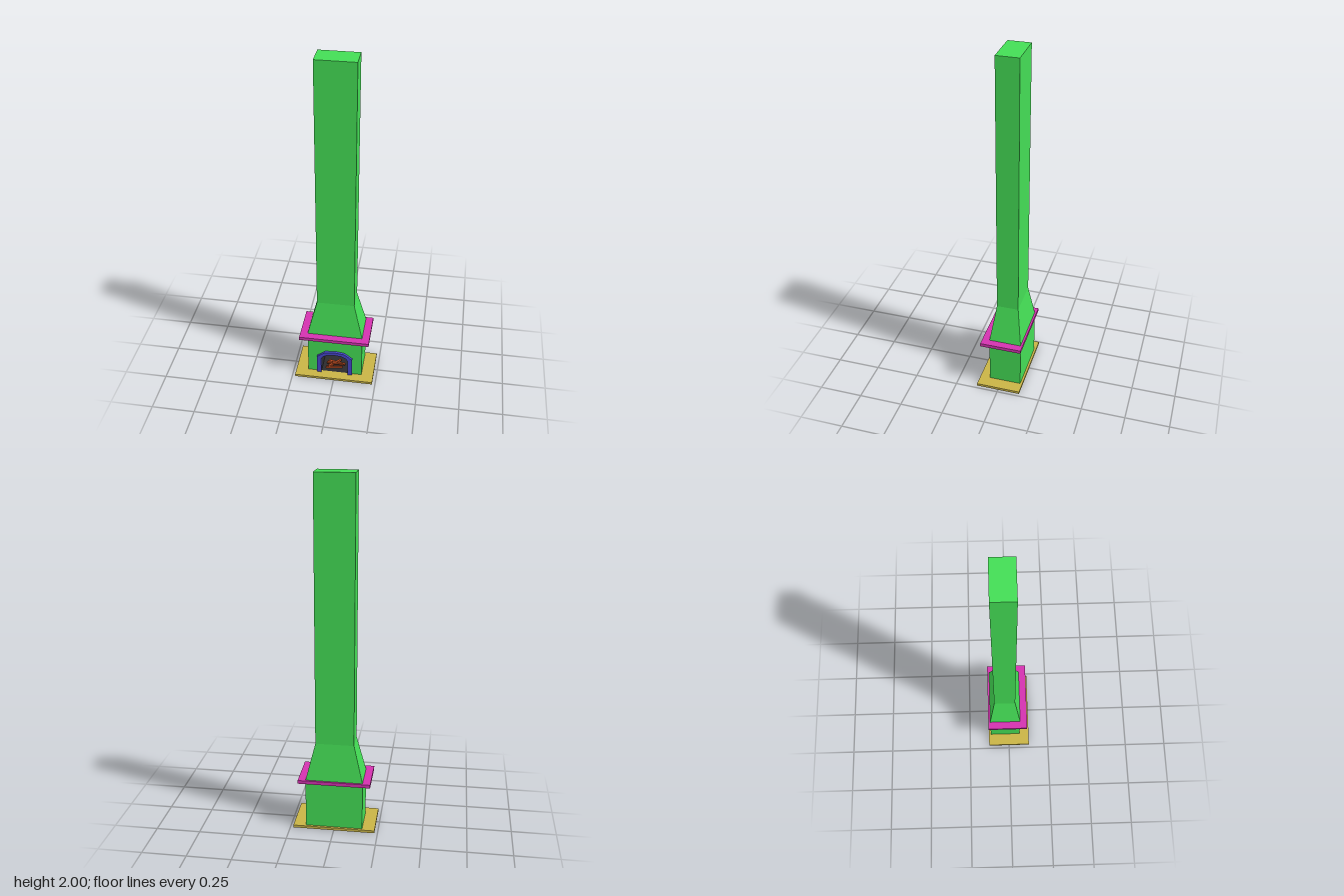
import * as THREE from 'three';

const mat = (color, extra = {}) => new THREE.MeshStandardMaterial({ color, flatShading: true, ...extra });

// Mirrors a right-hand half profile (foot to crown) into a full arch, right foot to left foot
const arch = (half) => [
  ...half,
  ...half.slice(0, -1).reverse().map(([x, y]) => [-x, y]),
].map(([x, y]) => new THREE.Vector2(x, y));

// Open surface between consecutive cross-sections of equal length
function loft(rings, closed, skip = () => false) {
  const n = rings[0].length;
  const index = [];
  for (let r = 0; r < rings.length - 1; r++) {
    for (let i = 0; i < (closed ? n : n - 1); i++) {
      if (skip(r, i)) continue;
      const a = r * n + i, b = r * n + (i + 1) % n;
      index.push(a, b, b + n, a, b + n, a + n);
    }
  }
  const geo = new THREE.BufferGeometry();
  geo.setAttribute('position', new THREE.Float32BufferAttribute(rings.flat(2), 3));
  geo.setIndex(index);
  const out = geo.toNonIndexed();
  out.computeVertexNormals();
  return out;
}

export function createModel() {
  const group = new THREE.Group();
  const green = mat(0x44dd55), magenta = mat(0xd433b0), gold = mat(0xc9b446);
  const blue = mat(0x4646cc), orange = mat(0xb84a20);
  const soot = mat(0x2b2b2e, { side: THREE.DoubleSide });

  const add = (name, geo, material, x = 0, y = 0, z = 0, parent = group) => {
    const mesh = new THREE.Mesh(geo, material);
    mesh.name = name;
    mesh.position.set(x, y, z);
    parent.add(mesh);
    return mesh;
  };

  const floor = 0.015, front = 0.07, back = -0.115, halfW = 0.161;

  // Hearth slab and mantel shelf
  add('hearthSlab', new THREE.BoxGeometry(0.464, floor, 0.255), gold, 0, floor / 2, 0);
  add('mantelShelf', new THREE.BoxGeometry(0.408, 0.02, 0.238), magenta, 0, 0.291, -0.007);

  // Body, tapered hood and stack; the lower front is left open for the firebox wall
  const ring = (y, w, z0, z1) => [[-w, y, z1], [w, y, z1], [w, y, z0], [-w, y, z0]];
  const rings = [
    ring(floor, halfW, back, front),
    ring(0.3, halfW, back, front),
    ring(0.515, 0.108, -0.085, 0.039),
    ring(2, 0.108, -0.085, 0.039),
  ];
  add('chimneyWalls', loft(rings, true, (r, i) => r === 0 && i === 0), green);
  const cap = new THREE.PlaneGeometry(0.216, 0.124).rotateX(-Math.PI / 2);
  add('chimneyTop', cap, green, 0, 2, -0.023);

  // Arch outlines
  const inner = arch([[0.08, floor], [0.08, 0.122], [0.069, 0.14], [0.042, 0.155], [0, 0.16]]);
  const outer = arch([[0.105, floor], [0.105, 0.137], [0.058, 0.173], [0, 0.181]]);

  // Front wall with arched opening
  const wall = new THREE.Shape([
    new THREE.Vector2(-halfW, floor),
    ...inner.slice().reverse(),
    new THREE.Vector2(halfW, floor),
    new THREE.Vector2(halfW, 0.3),
    new THREE.Vector2(-halfW, 0.3),
  ]);
  add('frontWall', new THREE.ShapeGeometry(wall), green, 0, 0, front);

  // Sooty firebox lining: vault, back and floor
  const firebox = new THREE.Group();
  firebox.name = 'firebox';
  group.add(firebox);
  const rear = -0.07;
  const vault = [front, rear].map((z) => inner.map((p) => [p.x, p.y, z]));
  add('fireboxVault', loft(vault, false), soot, 0, 0, 0, firebox);
  add('fireboxBack', new THREE.ShapeGeometry(new THREE.Shape(inner)), soot, 0, 0, rear, firebox);
  const bed = new THREE.PlaneGeometry(0.16, front - rear).rotateX(-Math.PI / 2);
  add('fireboxFloor', bed, soot, 0, floor + 0.001, (front + rear) / 2, firebox);

  // Raised arch surround
  const surround = new THREE.Shape([...outer, ...inner.slice().reverse()]);
  add('archSurround',
    new THREE.ExtrudeGeometry(surround, { depth: 0.014, bevelEnabled: false }), blue, 0, 0, front);

  // Stacked logs: length, centre, yaw, tilt
  const logs = [
    [0.1, -0.01, 0.022, 0.035, 0.15, 0],
    [0.1, 0.0, 0.022, -0.005, -0.2, 0],
    [0.09, -0.01, 0.031, 0.012, 0.75, 0.05],
    [0.115, 0.0, 0.039, 0.02, -0.15, 0.15],
  ];
  const pile = new THREE.Group();
  pile.name = 'logPile';
  group.add(pile);
  for (const [len, x, y, z, yaw, tilt] of logs) {
    add('log', new THREE.BoxGeometry(len, 0.011, 0.012), orange, x, y, z, pile).rotation.set(0, yaw, tilt);
  }

  return group;
}
